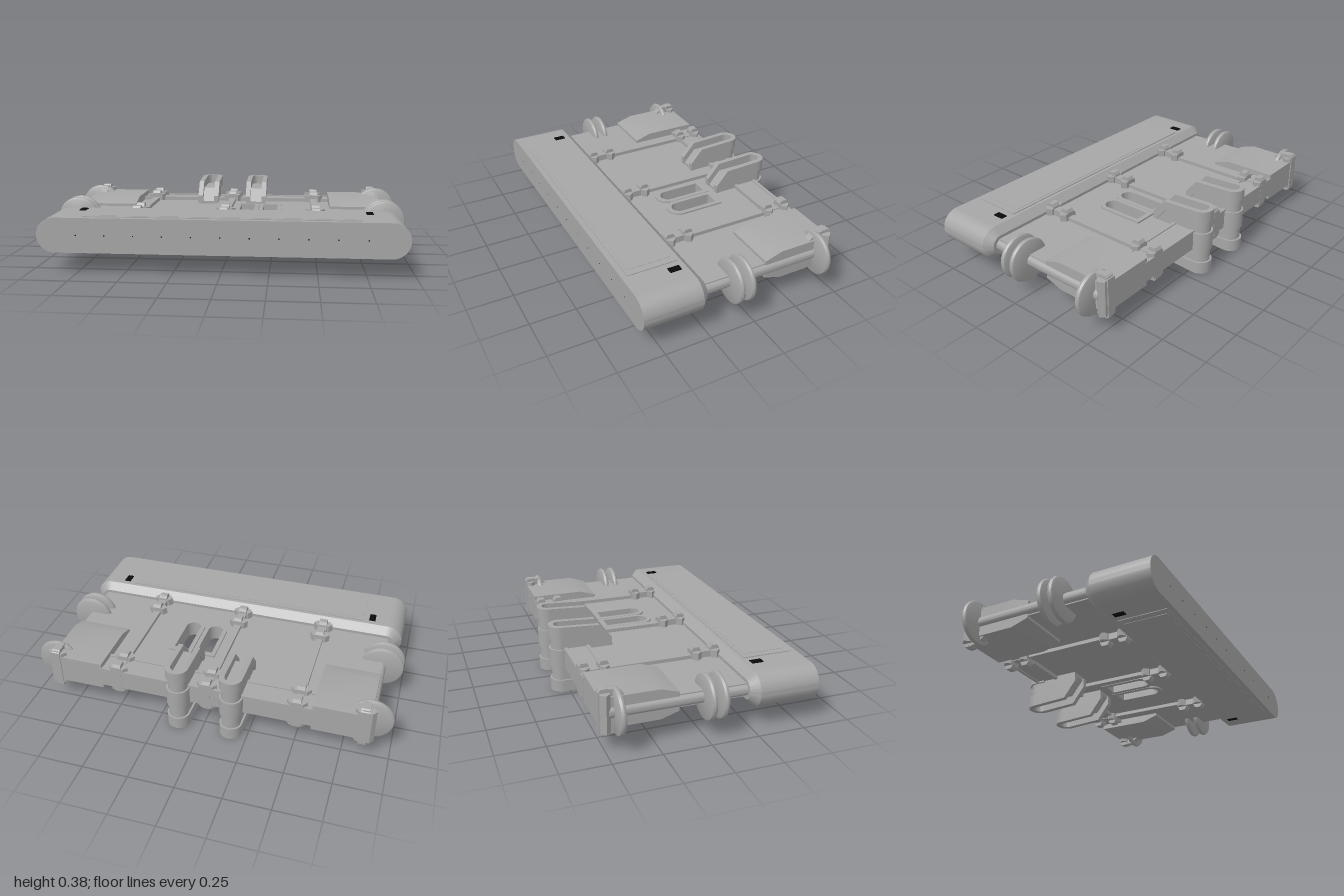
import * as THREE from 'three';
import { toCreasedNormals } from 'three/addons/utils/BufferGeometryUtils.js';

const grey = new THREE.MeshStandardMaterial({ color: 0xa6a6a6 });
grey.name = 'painted grey';
const black = new THREE.MeshStandardMaterial({ color: 0x0a0a0a });
black.name = 'black';

// All parts are laid out around the mid plane y = 0 and lifted at the end.
export function createModel() {
  const model = new THREE.Group();
  model.name = 'frame';
  model.position.y = 0.2;

  const add = (name, geo, x = 0, y = 0, z = 0, parent = model, mat = grey) => {
    const m = new THREE.Mesh(toCreasedNormals(geo, 0.5), mat);
    m.name = name;
    m.position.set(x, y, z);
    parent.add(m);
    return m;
  };
  const box = (w, h, d) => new THREE.BoxGeometry(w, h, d);

  // Side profile of [z, y] points, extruded across x and centred
  const profile = (pts, width) => {
    const s = new THREE.Shape(pts.map(p => new THREE.Vector2(p[0], p[1])));
    return new THREE.ExtrudeGeometry(s, { depth: width, bevelEnabled: false })
      .translate(0, 0, -width / 2).rotateY(-Math.PI / 2);
  };
  // Plan outline (shape y = -z), extruded in y and centred
  const plan = (shape, height) =>
    new THREE.ExtrudeGeometry(shape, { depth: height, bevelEnabled: false, curveSegments: 16 })
      .translate(0, 0, -height / 2).rotateX(-Math.PI / 2);
  // Slot outline, square at the back and round at the front
  const slot = (Type, cx, w, zBack, zFront) => {
    const r = w / 2, p = new Type();
    p.moveTo(cx - r, -zBack);
    p.lineTo(cx - r, -(zFront - r));
    p.absarc(cx, -(zFront - r), r, Math.PI, Math.PI * 2, false);
    p.lineTo(cx + r, -zBack);
    p.closePath();
    return p;
  };

  // Front bumper: long stadium with a tapered rear edge
  const r = 0.0925, half = 0.8675;
  const stadium = new THREE.Shape();
  stadium.absarc(half, 0, r, -Math.PI / 2, Math.PI / 2, false);
  stadium.absarc(-half, 0, r, Math.PI / 2, Math.PI * 1.5, false);
  const bumper = new THREE.ExtrudeGeometry(stadium, { depth: 0.36, steps: 9, bevelEnabled: false, curveSegments: 16 })
    .translate(0, 0, 0.23);
  const pos = bumper.attributes.position;
  for (let i = 0; i < pos.count; i++) {
    if (pos.getZ(i) > 0.24) continue;
    const k = (r - 0.04) / r, x = pos.getX(i), side = Math.sign(x);
    pos.setXY(i, side * half + (x - side * half) * k, pos.getY(i) * k);
  }
  add('bumper', bumper, 0, -0.001);

  // Raised panels and black labels on both faces, small holes along the front
  for (const s of [1, -1]) {
    add('bumperPanel', box(1.44, 0.006, 0.27), 0, s * 0.093, 0.425);
    add('bumperPanelInset', box(1.36, 0.008, 0.23), 0, s * 0.0935, 0.425);
    for (const x of [-0.775, 0.775]) {
      add('label', box(0.036, 0.006, 0.062), x, s * 0.0925, 0.333, model, black);
    }
  }
  for (let i = 0; i < 11; i++) {
    add('frontHole', new THREE.CircleGeometry(0.004, 8), -0.75 + i * 0.15, 0, 0.5915, model, black);
  }

  // Deck plate with two rimmed slots
  const deck = new THREE.Shape();
  deck.moveTo(-0.88, -0.25);
  deck.lineTo(0.88, -0.25);
  deck.lineTo(0.88, 0.52);
  deck.lineTo(-0.88, 0.52);
  deck.closePath();
  for (const cx of [0.097, 0.233]) {
    deck.holes.push(slot(THREE.Path, cx, 0.084, -0.2, 0.052));
    const rim = slot(THREE.Shape, cx, 0.132, -0.228, 0.08);
    rim.holes.push(slot(THREE.Path, cx, 0.084, -0.2, 0.052));
    add('slotRim', plan(rim, 0.09));
  }
  add('deck', plan(deck, 0.07));

  // Rear beam with edge rails
  add('rearBeam', box(1.76, 0.1, 0.12), 0, 0, -0.455);
  for (const z of [-0.513, -0.392]) add('rearRail', box(1.2, 0.112, 0.018), 0, 0, z);

  // Long rods held by clamps
  const hex = new THREE.Shape([[-0.055, 0], [-0.035, -0.025], [0.035, -0.025], [0.055, 0], [0.035, 0.025], [-0.035, 0.025]]
    .map(p => new THREE.Vector2(...p)));
  for (const x of [-0.503, -0.015, 0.493]) {
    add('rod', box(0.04, 0.11, 0.74), x, 0, -0.14);
    add('rodSleeve', box(0.05, 0.14, 0.12), x, 0, 0.165);
    for (const z of [-0.497, -0.392, 0.112, 0.217]) {
      add('clamp', plan(hex, 0.15), x, 0, z);
      add('clampBolt', profile([[-0.026, -0.08], [-0.016, -0.097], [0.016, -0.097], [0.026, -0.08],
        [0.026, 0.08], [0.016, 0.097], [-0.016, 0.097], [-0.026, 0.08]], 0.045), x, 0, z);
    }
  }

  // Corner boxes, side tubes, discs and corner straps
  const discProfile = [[0, -0.016], [0.106, -0.016], [0.116, -0.011], [0.12, 0], [0.116, 0.011], [0.106, 0.016], [0, 0.016]]
    .map(p => new THREE.Vector2(...p));
  for (const s of [1, -1]) {
    add('cornerBox', profile([[-0.52, -0.08], [-0.22, -0.08], [-0.125, -0.05], [-0.125, 0.05], [-0.22, 0.08], [-0.52, 0.08]], 0.3), s * 0.735);
    add('sideTube', new THREE.CylinderGeometry(0.03, 0.03, 0.73, 20).rotateX(Math.PI / 2), s * 0.872, 0, -0.115);
    for (const z of [0.075, 0.012, -0.437]) {
      add('disc', new THREE.LatheGeometry(discProfile, 40).rotateX(Math.PI / 2), s * 0.88, 0, z);
    }
    add('cornerStrap', profile([[-0.525, -0.105], [-0.51, -0.12], [-0.475, -0.12], [-0.465, -0.105],
      [-0.465, 0.105], [-0.475, 0.12], [-0.51, 0.12], [-0.525, 0.105]], 0.045), s * 0.852);
    add('cornerClamp', plan(hex, 0.2), s * 0.855, 0, -0.495);
    add('strapPlate', profile([[-0.52, -0.115], [-0.44, -0.115], [-0.385, -0.07], [-0.385, 0.07], [-0.44, 0.115], [-0.52, 0.115]], 0.04), s * 0.855);
  }

  // Rear lugs: bent rim with a round end around a recessed slot, above and below
  const halfRing = new THREE.Shape();
  halfRing.absarc(0, 0, 0.0625, 0, Math.PI, false);
  halfRing.absarc(0, 0, 0.034, Math.PI, 0, true);
  halfRing.closePath();
  for (const x of [-0.157, 0.138]) {
    const lug = new THREE.Group();
    lug.name = 'lug';
    lug.position.x = x;
    model.add(lug);
    add('lugCollar', new THREE.CylinderGeometry(0.0625, 0.0625, 0.105, 28), 0, -0.007, -0.53, lug);
    add('lugCollarBlock', box(0.125, 0.105, 0.06), 0, -0.007, -0.5, lug);
    for (const s of [1, -1]) {
      const arm = new THREE.Group();
      arm.name = s > 0 ? 'upperArm' : 'lowerArm';
      arm.scale.y = s > 0 ? 1 : -1.13;
      lug.add(arm);
      add('lugColumn', new THREE.CylinderGeometry(0.052, 0.052, 0.125, 28), 0, 0.0625, -0.53, arm);
      add('lugBody', profile([[-0.53, 0], [-0.265, 0], [-0.265, 0.05], [-0.33, 0.125], [-0.53, 0.125]], 0.104), 0, 0, 0, arm);
      add('lugRimEnd', plan(halfRing, 0.06), 0, 0.147, -0.53, arm);
      for (const side of [1, -1]) {
        add('lugRim', profile([[-0.53, 0.117], [-0.335, 0.117], [-0.275, 0.04], [-0.255, 0.04],
          [-0.255, 0.085], [-0.325, 0.167], [-0.53, 0.177]], 0.0285), side * 0.04825, 0, 0, arm);
      }
    }
  }

  const root = new THREE.Group();
  root.name = 'model';
  root.add(model);
  return root;
}
